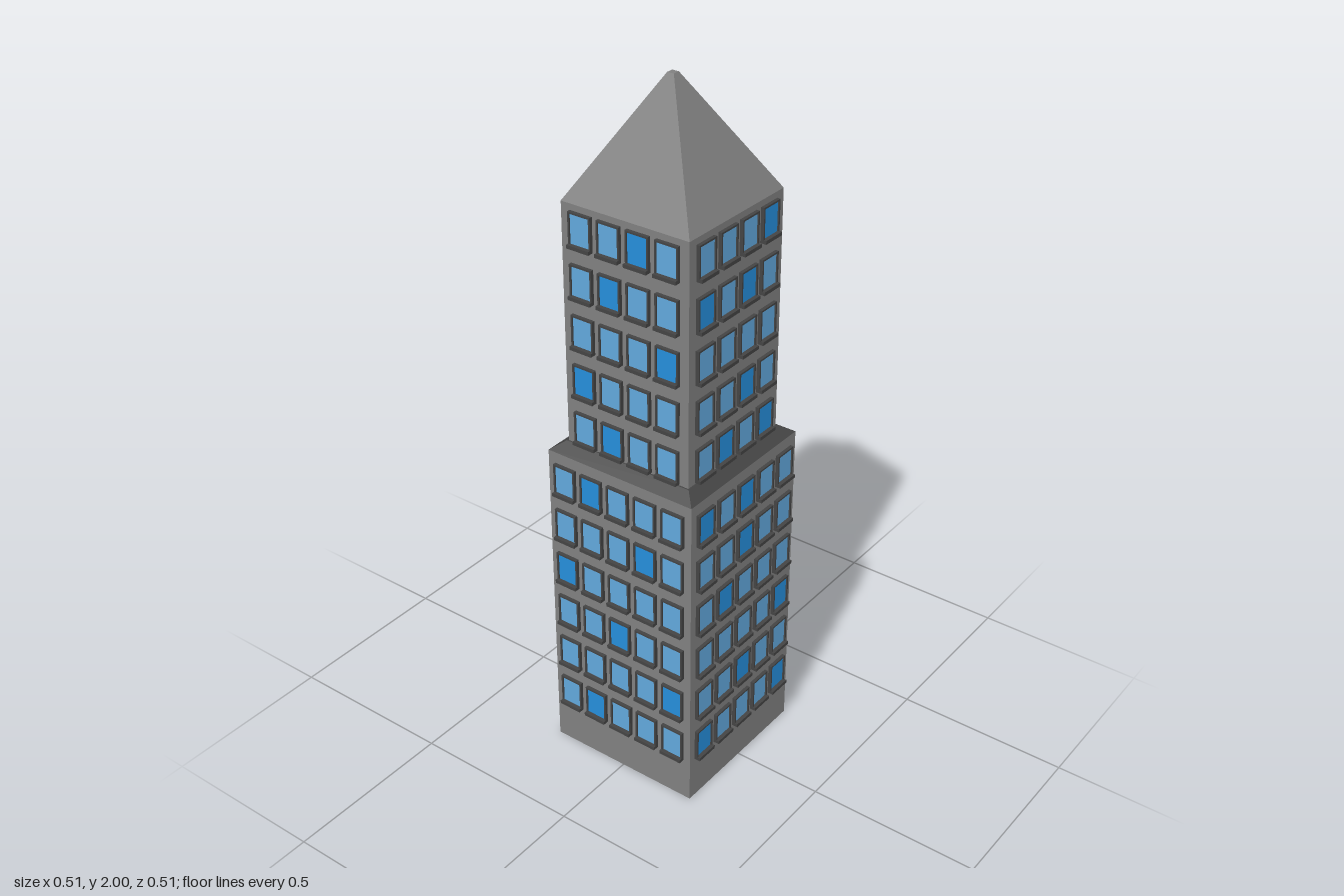
import * as THREE from 'three';

const material = (name, color) => {
  const m = new THREE.MeshStandardMaterial({ color });
  m.name = name;
  return m;
};

export function createModel() {
  const wall = material('concrete grey', 0x808080);
  const trim = material('dark trim', 0x444444);
  const lightGlass = material('light blue glass', 0x62a8dc);
  const darkGlass = material('deep blue glass', 0x268edb);

  const tower = new THREE.Group();
  tower.name = 'tower';

  const add = (parent, name, geometry, mat, x = 0, y = 0, z = 0) => {
    const mesh = new THREE.Mesh(geometry, mat);
    mesh.name = name;
    mesh.position.set(x, y, z);
    parent.add(mesh);
    return mesh;
  };
  // Square frustum with flat faces, given by half widths and heights
  const frustum = (top, bottom, y0, y1) => {
    const g = new THREE.CylinderGeometry(top * Math.SQRT2, bottom * Math.SQRT2, y1 - y0, 4)
      .rotateY(Math.PI / 4).translate(0, (y0 + y1) / 2, 0).toNonIndexed();
    g.computeVertexNormals();
    return g;
  };

  const LOW = 0.235, HIGH = 0.196;
  const DOOR_W = 0.05, DOOR_H = 0.11, DOOR_D = 0.04;

  // Ground storey with a recessed doorway on the +x side
  const plan = new THREE.Shape([
    [-LOW, -LOW], [LOW, -LOW], [LOW, -DOOR_W], [LOW - DOOR_D, -DOOR_W],
    [LOW - DOOR_D, DOOR_W], [LOW, DOOR_W], [LOW, LOW], [-LOW, LOW],
  ].map(([x, y]) => new THREE.Vector2(x, y)));
  add(tower, 'groundStorey', new THREE.ExtrudeGeometry(plan, { depth: DOOR_H, bevelEnabled: false })
    .rotateX(-Math.PI / 2), wall);
  add(tower, 'doorstep', new THREE.BoxGeometry(DOOR_D, 0.004, 2 * DOOR_W), wall, LOW - DOOR_D / 2, 0.002, 0);
  add(tower, 'door', new THREE.BoxGeometry(0.004, DOOR_H - 0.004, 2 * DOOR_W), lightGlass,
    LOW - DOOR_D + 0.002, DOOR_H / 2 + 0.002, 0);

  // Stacked blocks, sloped ledge and pointed roof
  add(tower, 'lowerBlock', new THREE.BoxGeometry(2 * LOW, 0.972 - DOOR_H, 2 * LOW), wall, 0, (0.972 + DOOR_H) / 2, 0);
  add(tower, 'ledge', frustum(0.2, LOW, 0.972, 0.997), trim);
  add(tower, 'upperBlock', new THREE.BoxGeometry(2 * HIGH, 0.697, 2 * HIGH), wall, 0, 1.3365, 0);
  add(tower, 'roof', frustum(0.01, HIGH, 1.685, 2), wall);

  // One window: frame with opening, recessed pane and projecting sill
  const W = 0.07, H = 0.095, BAR = 0.005;
  const outline = (w, h, Type) => {
    const p = new Type();
    p.moveTo(-w / 2, -h / 2).lineTo(w / 2, -h / 2).lineTo(w / 2, h / 2).lineTo(-w / 2, h / 2).closePath();
    return p;
  };
  const frameShape = outline(W, H, THREE.Shape);
  frameShape.holes.push(outline(W - 2 * BAR, H - 2 * BAR, THREE.Path));
  const frameGeo = new THREE.ExtrudeGeometry(frameShape, { depth: 0.01, bevelEnabled: false });
  const paneGeo = new THREE.BoxGeometry(W - 2 * BAR, H - 2 * BAR, 0.006);
  const sillGeo = new THREE.BoxGeometry(W, 0.01, 0.018);

  const addWindow = (face, x, y, z, glass) => {
    const win = new THREE.Group();
    win.name = 'window';
    win.position.set(x, y, z);
    add(win, 'windowFrame', frameGeo, trim);
    add(win, 'windowPane', paneGeo, glass, 0, 0, 0.003);
    add(win, 'windowSill', sillGeo, trim, 0, -H / 2 + 0.003, 0.009);
    face.add(win);
  };

  // Dark panes marked 1, rows listed from the top down
  const sides = [
    { name: 'frontWindows', turn: 0,
      upper: ['0001', '1010', '0000', '0010', '0101'],
      lower: ['10100', '00100', '01000', '00001', '00100', '10001'] },
    { name: 'leftWindows', turn: Math.PI / 2,
      upper: ['0001', '0100', '1000', '0010', '0100'],
      lower: ['01000', '01010', '00000', '10001', '00010', '01010'] },
    { name: 'backWindows', turn: Math.PI,
      upper: ['1000', '0100', '1000', '0010', '0001'],
      lower: ['10000', '00100', '00000', '00001', '00100', '10000'] },
    { name: 'rightWindows', turn: -Math.PI / 2,
      upper: ['0010', '0100', '0001', '1000', '0100'],
      lower: ['01000', '00010', '10000', '00100', '00001', '01000'] },
  ];
  for (const { name, turn, upper, lower } of sides) {
    const face = new THREE.Group();
    face.name = name;
    face.rotation.y = turn;
    for (const [rows, topY, z] of [[upper, 1.62, HIGH], [lower, 0.892, LOW]]) {
      rows.forEach((row, r) => [...row].forEach((mark, c) => addWindow(
        face, (c - (row.length - 1) / 2) * 0.089, topY - r * 0.1424, z,
        mark === '1' ? darkGlass : lightGlass)));
    }
    tower.add(face);
  }
  return tower;
}
